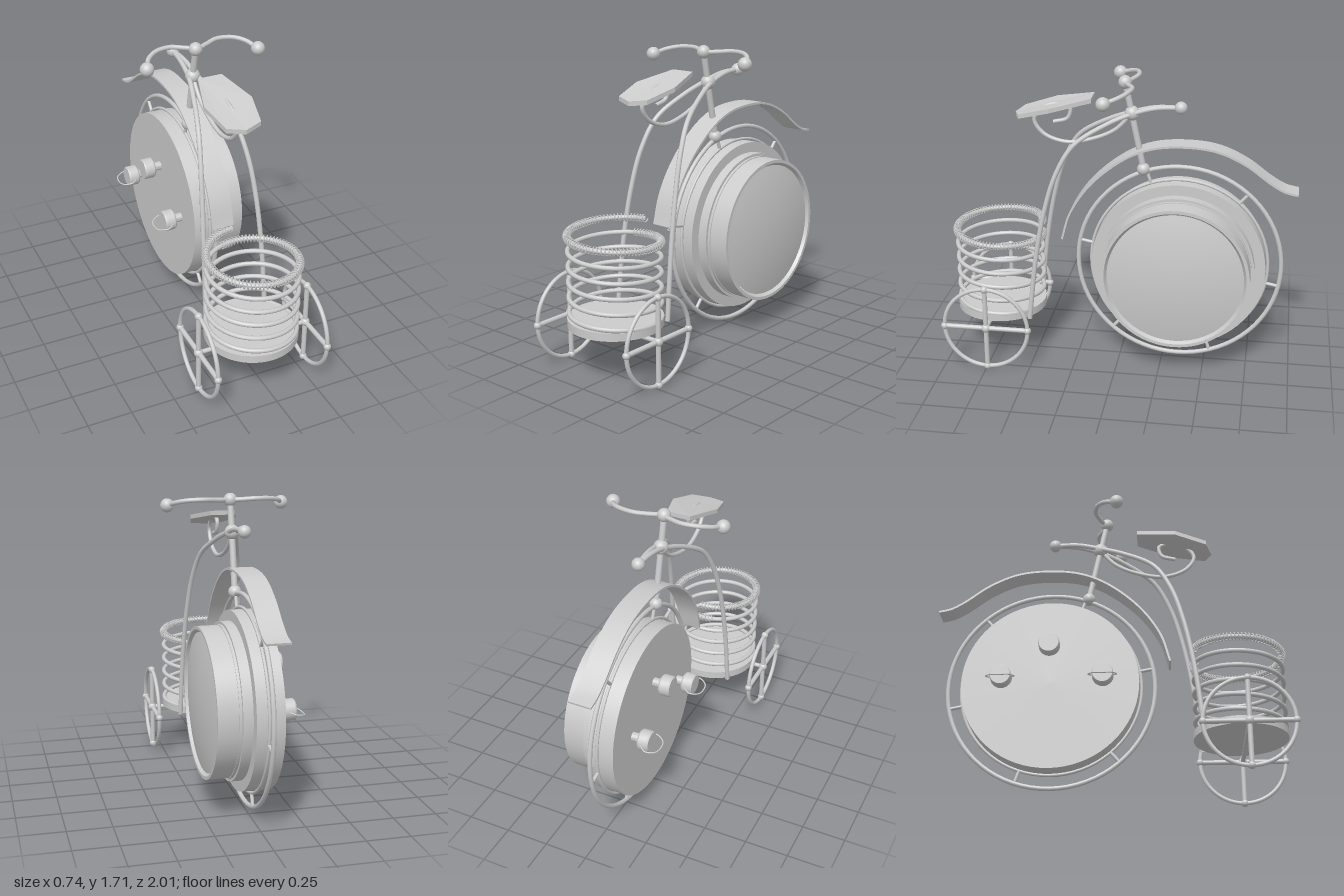
import * as THREE from 'three';
import { toCreasedNormals } from 'three/addons/utils/BufferGeometryUtils.js';

const CX = -0.015; // centre plane of the frame
const WHEEL = { y: 0.61, z: -0.34 };
const mat = new THREE.MeshStandardMaterial({ color: 0xcccccc });
const matDouble = new THREE.MeshStandardMaterial({ color: 0xcccccc, side: THREE.DoubleSide });
const V = (x, y, z) => new THREE.Vector3(x, y, z);

export function createModel() {
  const root = new THREE.Group();
  root.name = 'tricycleClock';

  const add = (name, geo, material = mat, parent = root) => {
    const m = new THREE.Mesh(geo, material);
    m.name = name;
    parent.add(m);
    return m;
  };
  const ball = (name, p, r, parent) => add(name, new THREE.SphereGeometry(r, 20, 14), mat, parent).position.copy(p);
  const tube = (name, pts, r, seg = 80, parent) =>
    add(name, new THREE.TubeGeometry(new THREE.CatmullRomCurve3(pts), seg, r, 10), mat, parent);
  const rod = (name, a, b, r, parent) => {
    const m = add(name, new THREE.CylinderGeometry(r, r, a.distanceTo(b), 14), mat, parent);
    m.position.copy(a).add(b).multiplyScalar(0.5);
    m.quaternion.setFromUnitVectors(V(0, 1, 0), b.clone().sub(a).normalize());
  };
  // ring lying in the side plane
  const ring = (name, p, R, r, parent) => {
    const m = add(name, new THREE.TorusGeometry(R, r, 10, 72), mat, parent);
    m.rotation.y = Math.PI / 2;
    m.position.copy(p);
  };
  // solid turned around the x axis, points are [radius, x]
  const turned = (name, pts, seg, y, z, parent) => {
    const g = new THREE.LatheGeometry(pts.map(p => new THREE.Vector2(...p)), seg);
    g.rotateZ(-Math.PI / 2);
    add(name, toCreasedNormals(g, 0.5), matDouble, parent).position.set(0, y, z);
  };

  // clock drum with stepped bezel
  turned('clockBody', [[0, -0.105], [0.5, -0.105], [0.5, 0.05], [0.44, 0.05], [0.44, 0.105], [0.425, 0.105],
    [0.425, 0.12], [0.42, 0.12], [0.42, 0.235], [0.402, 0.235], [0.385, 0.205]], 72, WHEEL.y, WHEEL.z);
  // domed glass
  const dome = [];
  for (let i = 0; i <= 12; i++) {
    const r = 0.387 * (1 - i / 12);
    dome.push([r, 0.26 - 0.27 * r * r]);
  }
  turned('clockGlass', dome, 72, WHEEL.y, WHEEL.z);

  // winding knobs on the back of the drum, two with wire handles
  for (const [y, z, handle] of [[0.62, -0.605, 1], [0.81, -0.34, 0], [0.62, -0.04, 1]]) {
    const knob = new THREE.Group();
    knob.name = 'windingKnob';
    root.add(knob);
    turned('knob', [[0, -0.22], [0.055, -0.22], [0.06, -0.212], [0.06, -0.162], [0.052, -0.152],
      [0.025, -0.152], [0.025, -0.1]], 28, y, z, knob);
    if (handle) {
      tube('knobHandle', [V(-0.18, y, z - 0.058), V(-0.215, y - 0.01, z - 0.078), V(-0.262, y - 0.02, z - 0.05),
        V(-0.272, y - 0.025, z), V(-0.262, y - 0.02, z + 0.05), V(-0.215, y - 0.01, z + 0.078),
        V(-0.18, y, z + 0.058)], 0.004, 40, knob);
    }
  }

  // big wheel: double rim and short spokes
  const bigWheel = new THREE.Group();
  bigWheel.name = 'bigWheel';
  root.add(bigWheel);
  const hub = V(CX, WHEEL.y, WHEEL.z);
  ring('outerRim', hub, 0.588, 0.013, bigWheel);
  ring('innerRim', hub, 0.512, 0.009, bigWheel);
  for (let i = 0; i < 6; i++) {
    const a = THREE.MathUtils.degToRad(49 + i * 60);
    const at = r => V(CX, WHEEL.y + r * Math.sin(a), WHEEL.z - r * Math.cos(a));
    rod('rimSpoke', at(0.512), at(0.588), 0.01, bigWheel);
  }

  // fender: a thin strip swept along the wheel
  const fenderPath = new THREE.CatmullRomCurve3([[0.34, 0.745], [0.29, 0.91], [0.17, 1.09], [-0.02, 1.25],
    [-0.18, 1.32], [-0.37, 1.34], [-0.55, 1.32], [-0.71, 1.25], [-0.85, 1.15], [-0.93, 1.105], [-1, 1.09]]
    .map(([z, y]) => V(0, y, z)));
  const top = fenderPath.getSpacedPoints(48);
  const outline = new THREE.Shape([
    ...top.map(p => new THREE.Vector2(-p.z, p.y)),
    ...top.map((p, i) => {
      const t = fenderPath.getTangentAt(i / 48);
      return new THREE.Vector2(-p.z + t.y * 0.012, p.y + t.z * 0.012);
    }).reverse(),
  ]);
  const fender = new THREE.ExtrudeGeometry(outline, { depth: 0.13, bevelEnabled: false });
  fender.rotateY(Math.PI / 2);
  fender.translate(CX - 0.065, 0, 0);
  add('fender', toCreasedNormals(fender, 0.6), matDouble);

  // steering stem
  const foot = V(CX, 1.175, -0.13), head = V(CX, 1.675, -0.025), joint = V(CX, 1.5, -0.065);
  rod('stem', foot, head, 0.018);
  ball('stemFoot', foot, 0.037);
  ball('stemJoint', joint, 0.042);
  ball('stemHead', head, 0.038);

  // handlebar
  const half = [[0.325, 1.645, 0.045], [0.29, 1.668, -0.025], [0.23, 1.682, -0.07], [0.14, 1.685, -0.085],
    [0.06, 1.678, -0.055]];
  tube('handlebar', [...half.map(([x, y, z]) => V(-x, y, z)), V(0, 1.675, -0.03),
    ...half.map(([x, y, z]) => V(x, y, z)).reverse()], 0.013);
  for (const s of [-1, 1]) ball('handlebarGrip', V(s * 0.328, 1.645, 0.045), 0.039);

  // forked frame tubes running down to the basket
  for (const s of [-1, 1]) {
    tube('frameTube', [[0, 1.54, -0.335], [0.012, 1.535, -0.2], [0.025, 1.5, -0.065], [0.06, 1.44, 0.08],
      [0.11, 1.33, 0.25], [0.14, 1.17, 0.345], [0.16, 0.96, 0.41], [0.175, 0.67, 0.465], [0.185, 0.28, 0.51]]
      .map(([d, y, z]) => V(CX + s * d, y, z)), 0.014);
  }
  ball('frameTip', V(CX, 1.54, -0.335), 0.036);

  // curled seat support
  tube('seatScroll', [[-0.065, 1.5], [0.03, 1.4], [0.16, 1.34], [0.31, 1.315], [0.44, 1.36], [0.49, 1.44],
    [0.44, 1.51], [0.35, 1.535], [0.285, 1.515], [0.3, 1.455], [0.38, 1.43]].map(([z, y]) => V(CX, y, z)), 0.012);

  // faceted saddle, its side corners raised
  const saddleShape = new THREE.Shape([[-0.07, 0.155], [0.07, 0.155], [0.138, 0.38], [0.1, 0.56], [0, 0.595],
    [-0.1, 0.56], [-0.138, 0.38]].map(p => new THREE.Vector2(...p)));
  const saddle = new THREE.ExtrudeGeometry(saddleShape, { depth: 0.025, bevelEnabled: false });
  const sp = saddle.attributes.position;
  for (let i = 0; i < sp.count; i++) {
    const x = sp.getX(i), z = sp.getY(i), h = sp.getZ(i);
    sp.setXYZ(i, CX + x, 1.592 - (z - 0.155) * 0.25 + 0.12 * Math.max(0, Math.abs(x) - 0.07) + h - 0.025, z);
  }
  saddle.computeVertexNormals();
  add('seat', saddle, matDouble);

  // basket: plate, coiled wire wall and a tight spring around the top turn
  const basket = new THREE.Group();
  basket.name = 'basket';
  root.add(basket);
  const BX = -0.022, BZ = 0.715, R = 0.25, TURNS = 6, PITCH = 0.085;
  const base = add('basketBase', new THREE.CylinderGeometry(0.262, 0.262, 0.045, 56), mat, basket);
  base.position.set(BX, 0.304, BZ);

  const coilAt = (turn, r, y) => {
    const a = turn * Math.PI * 2;
    return V(BX + r * Math.sin(a), 0.305 + turn * PITCH + y, BZ - r * Math.cos(a));
  };
  class Coil extends THREE.Curve {
    getPoint(t, target = V(0, 0, 0)) { return target.copy(coilAt(t * TURNS, R, 0)); }
  }
  class Spring extends THREE.Curve {
    getPoint(t, target = V(0, 0, 0)) {
      const a = t * 85 * Math.PI * 2;
      return target.copy(coilAt(TURNS - 1.05 + t * 1.05, R + 0.02 * Math.cos(a), 0.02 * Math.sin(a)));
    }
  }
  add('basketCoil', new THREE.TubeGeometry(new Coil(), 360, 0.013, 10), mat, basket);
  add('basketSpring', new THREE.TubeGeometry(new Spring(), 1020, 0.004, 5), mat, basket);

  // small wheels joined by an axle
  const WY = 0.268, WZ = 0.74, WR = 0.245, TRACK = 0.328;
  rod('axle', V(BX - TRACK, WY, WZ), V(BX + TRACK, WY, WZ), 0.013);
  for (const s of [-1, 1]) {
    const wheel = new THREE.Group();
    wheel.name = s > 0 ? 'leftWheel' : 'rightWheel';
    root.add(wheel);
    const c = V(BX + s * TRACK, WY, WZ);
    ring('wheelRim', c, WR, 0.012, wheel);
    ball('wheelHub', c, 0.026, wheel);
    for (const d of [V(0, WR, 0), V(0, 0, WR)]) {
      const a = c.clone().add(d), b = c.clone().sub(d);
      rod('wheelSpoke', a, b, 0.014, wheel);
      ball('rimBead', a, 0.021, wheel);
      ball('rimBead', b, 0.021, wheel);
    }
  }
  return root;
}
